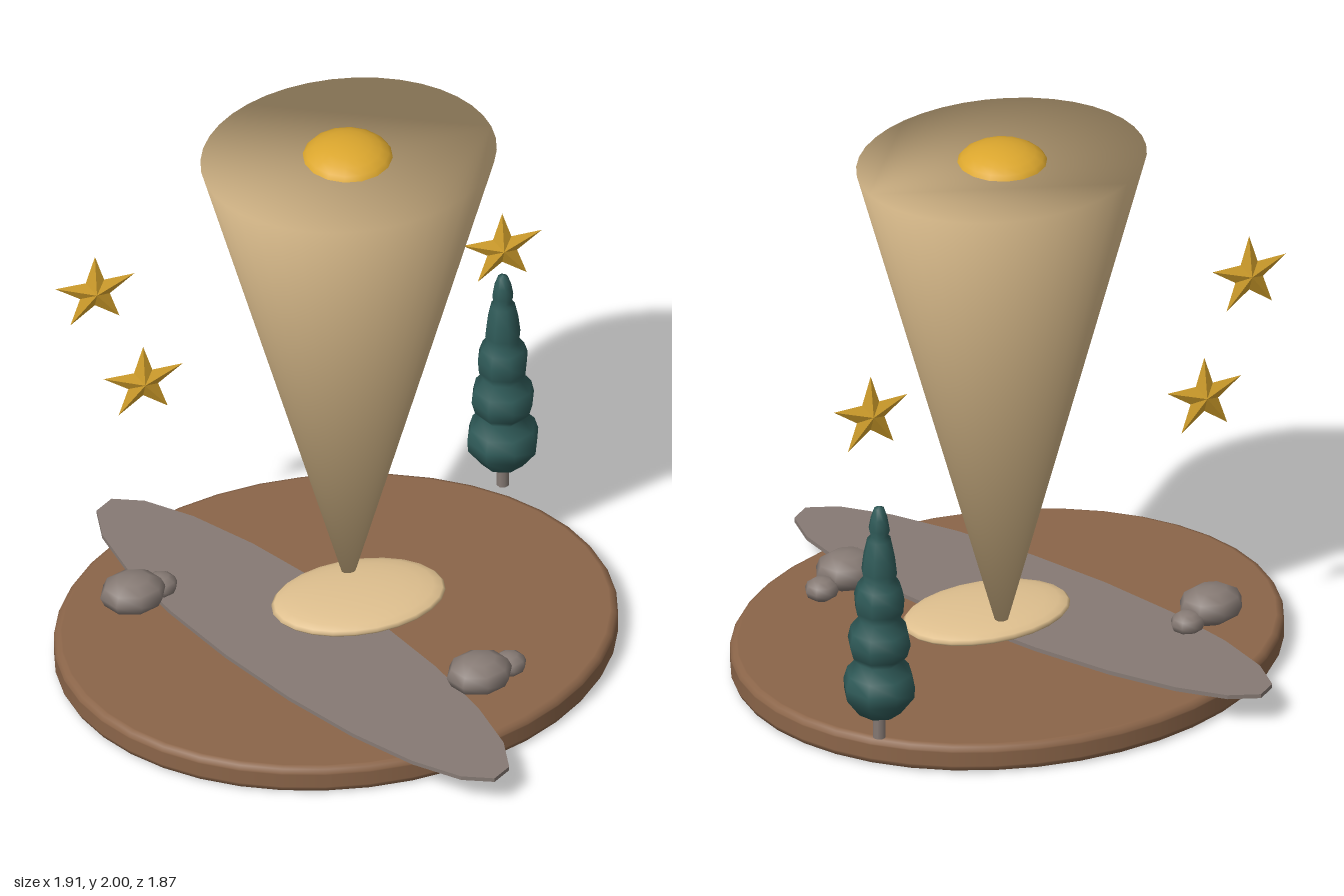
import * as THREE from 'three';

const mat = (name, color) => {
  const m = new THREE.MeshStandardMaterial({ color });
  m.name = name;
  return m;
};

// Closed, softly shaded cone standing on its tip, with an oval rim
function invertedCone(rx, rz, h, n) {
  const pos = [0, 0, 0], nor = [0, -1, 0], idx = [];
  for (let i = 0; i < n; i++) {
    const a = (i / n) * Math.PI * 2;
    pos.push(rx * Math.cos(a), h, rz * Math.sin(a));
    const v = new THREE.Vector3(Math.cos(a) / rx, 0, Math.sin(a) / rz).normalize();
    v.y = 0.12;
    v.normalize();
    nor.push(v.x, v.y, v.z);
    idx.push(0, 1 + i, 1 + ((i + 1) % n));
    if (i > 0 && i < n - 1) idx.push(1, 2 + i, 1 + i);
  }
  const g = new THREE.BufferGeometry();
  g.setAttribute('position', new THREE.Float32BufferAttribute(pos, 3));
  g.setAttribute('normal', new THREE.Float32BufferAttribute(nor, 3));
  g.setIndex(idx);
  return g;
}

// Faceted five-pointed star, raised to a point on both sides
function starGeometry(outer, inner, depth) {
  const pos = [0, 0, depth, 0, 0, -depth], idx = [];
  for (let i = 0; i < 10; i++) {
    const a = Math.PI / 2 + (i * Math.PI) / 5, r = i % 2 ? inner : outer;
    pos.push(r * Math.cos(a), r * Math.sin(a), 0);
    const p = 2 + i, q = 2 + ((i + 1) % 10);
    idx.push(0, p, q, 1, q, p);
  }
  const g = new THREE.BufferGeometry();
  g.setAttribute('position', new THREE.Float32BufferAttribute(pos, 3));
  g.setIndex(idx);
  const flat = g.toNonIndexed();
  flat.computeVertexNormals();
  return flat;
}

const lathe = (pts, n) => new THREE.LatheGeometry(pts.map(([x, y]) => new THREE.Vector2(x, y)), n);

export function createModel() {
  const root = new THREE.Group();
  root.name = 'model';
  const earth = mat('earthBrown', 0x8b6549);
  const sand = mat('sand', 0xdfc08f);
  const stone = mat('stoneGrey', 0x867a74);
  const leaf = mat('darkTeal', 0x2f5a58);
  const gold = mat('gold', 0xdca72e);

  const add = (name, geo, material, x, y, z, parent = root) => {
    const m = new THREE.Mesh(geo, material);
    m.name = name;
    m.position.set(x, y, z);
    parent.add(m);
    return m;
  };
  const blob = (name, material, [x, y, z], [rx, ry, rz], w, h, parent) =>
    add(name, new THREE.SphereGeometry(1, w, h), material, x, y, z, parent).scale.set(rx, ry, rz);

  // Oval base with rounded edges
  const base = add('base', lathe([
    [0, 0], [0.93, 0], [0.935, 0], [0.949, 0.006], [0.957, 0.02], [0.957, 0.025],
    [0.957, 0.075], [0.957, 0.08], [0.949, 0.094], [0.935, 0.1], [0.93, 0.1], [0, 0.1],
  ], 40), earth, 0, 0, -0.085);
  base.scale.z = 0.847;

  // Slanted oval path across the base
  const outline = [];
  for (let i = 0; i < 20; i++) {
    const t = (i / 20) * Math.PI * 2;
    outline.push(new THREE.Vector2(0.452 * Math.cos(t + 0.65), -0.937 * Math.cos(t)));
  }
  const path = new THREE.ExtrudeGeometry(new THREE.Shape(outline), { depth: 0.015, bevelEnabled: false });
  path.rotateX(-Math.PI / 2);
  add('path', path, stone, -0.145, 0.104, 0);

  // Inverted cone, its golden dome and the disc at its foot
  add('cone', invertedCone(0.503, 0.422, 1.825, 40), sand, 0.083, 0.12, -0.2);
  blob('dome', gold, [0.08, 1.92, -0.2], [0.16, 0.08, 0.16], 16, 12);
  blob('footDisc', sand, [0.08, 0.175, -0.088], [0.3, 0.04, 0.2], 24, 12);

  // Two rock clusters, each a large and a small stone
  [
    ['backRocks', [-0.62, -0.37], [0.11, -0.04]],
    ['frontRocks', [0.335, 0.42], [0.12, -0.045]],
  ].forEach(([name, [x, z], [dx, dz]]) => {
    const g = new THREE.Group();
    g.name = name;
    root.add(g);
    blob('largeRock', stone, [x, 0.163, z], [0.115, 0.068, 0.096], 8, 6, g);
    blob('smallRock', stone, [x + dx, 0.14, z + dz], [0.06, 0.042, 0.055], 8, 6, g);
  });

  // Tree: trunk and a stack of tapering eight-sided leaf balls
  const tree = new THREE.Group();
  tree.name = 'tree';
  tree.position.set(0.76, 0, -0.597);
  root.add(tree);
  add('trunk', new THREE.CylinderGeometry(0.022, 0.022, 0.14, 8), stone, 0, 0.19, 0, tree);
  add('foliage', lathe([
    [0, 0.218], [0.075, 0.22], [0.122, 0.285], [0.125, 0.325], [0.112, 0.37], [0.075, 0.412],
    [0.098, 0.44], [0.11, 0.485], [0.1, 0.53], [0.068, 0.572],
    [0.084, 0.605], [0.088, 0.655], [0.075, 0.695], [0.056, 0.722],
    [0.062, 0.75], [0.055, 0.81], [0.042, 0.87], [0.03, 0.885],
    [0.037, 0.91], [0.03, 0.95], [0.017, 0.988], [0, 0.996],
  ], 8), leaf, 0, 0, 0, tree);

  // Floating stars
  const star = starGeometry(0.147, 0.055, 0.022);
  [[-0.735, 1.408], [-0.565, 0.99], [0.7, 1.243]].forEach(([x, y], i) =>
    add('star' + (i + 1), star, gold, x, y, -0.425));

  return root;
}
